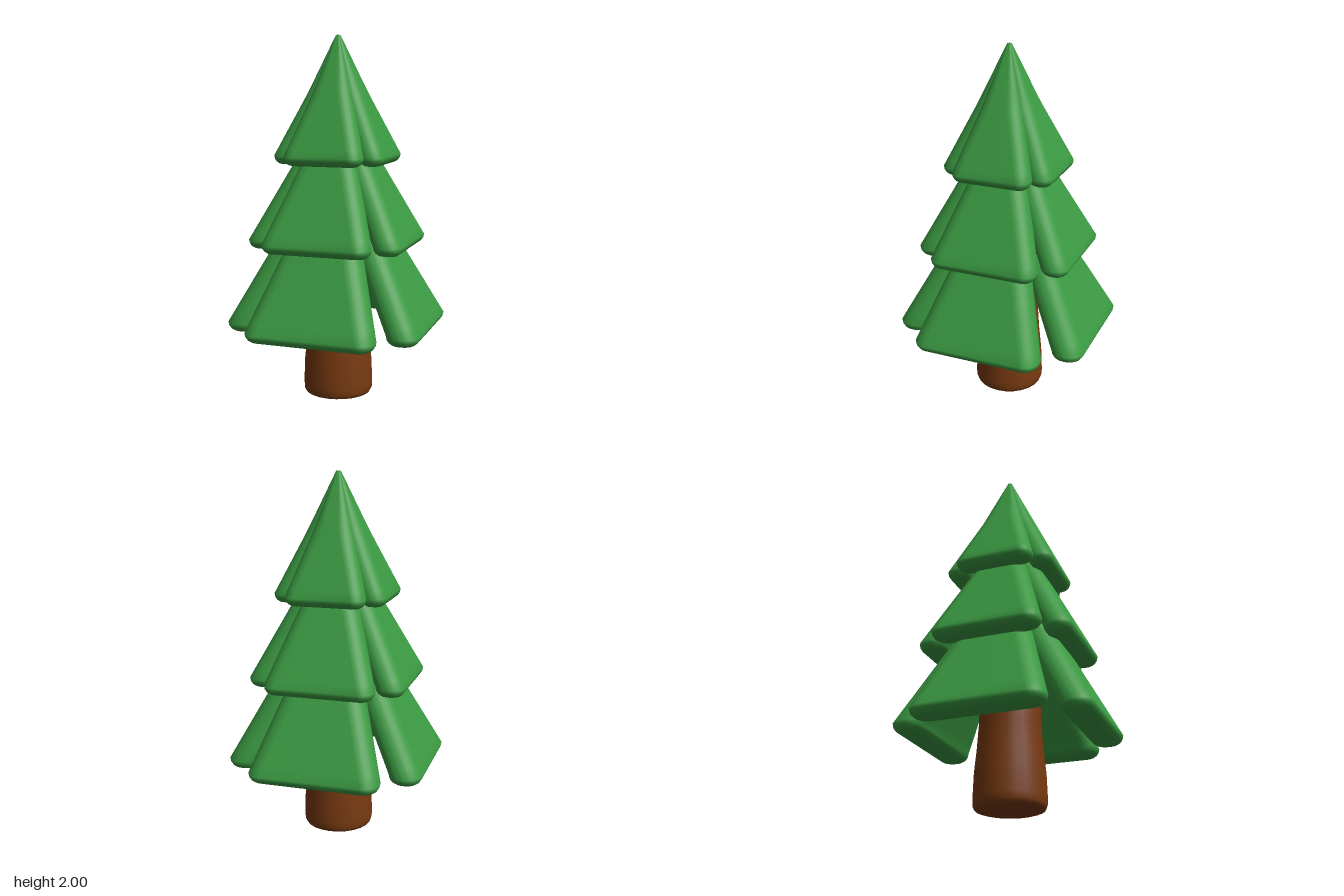
import * as THREE from 'three';

const foliage = new THREE.MeshStandardMaterial({ color: 0x3b9a42 });
foliage.name = 'leaf green';
const bark = new THREE.MeshStandardMaterial({ color: 0x783a10 });
bark.name = 'bark brown';

const CORNER = 6; // steps per rounded corner

// Rounded rectangle in plan: half width w, from z = inner to z = outer
function section(w, inner, outer, r, y) {
  const pts = [];
  const corners = [[w - r, outer - r], [r - w, outer - r], [r - w, inner + r], [w - r, inner + r]];
  corners.forEach(([cx, cz], q) => {
    for (let i = 0; i <= CORNER; i++) {
      const a = (q + i / CORNER) * Math.PI / 2;
      pts.push(new THREE.Vector3(cx + r * Math.cos(a), y, cz + r * Math.sin(a)));
    }
  });
  return pts;
}

// Closed surface through horizontal loops, bottom to top
function loft(loops) {
  const n = loops[0].length, pos = [], index = [];
  loops.forEach(loop => loop.forEach(p => pos.push(p.x, p.y, p.z)));
  for (let k = 0; k < loops.length - 1; k++) {
    for (let i = 0; i < n; i++) {
      const a = k * n + i, b = k * n + (i + 1) % n;
      index.push(a, a + n, b, b, a + n, b + n);
    }
  }
  // end caps
  [0, loops.length - 1].forEach(k => {
    const c = new THREE.Vector3();
    loops[k].forEach(p => c.addScaledVector(p, 1 / n));
    const centre = pos.length / 3;
    pos.push(c.x, c.y, c.z);
    for (let i = 0; i < n; i++) {
      const a = k * n + i, b = k * n + (i + 1) % n;
      if (k === 0) index.push(centre, a, b);
      else index.push(centre, b, a);
    }
  });
  const geo = new THREE.BufferGeometry();
  geo.setAttribute('position', new THREE.Float32BufferAttribute(pos, 3));
  geo.setIndex(index);
  geo.computeVertexNormals();
  return geo;
}

// One thick sloping bough, tapering towards the apex with a rounded lower rim
function boughGeometry({ bottom, apex, top, reach, width, thick, round }) {
  const rim = bottom + 0.048;
  const loops = [];
  const add = (y, s, inset) => {
    const outer = reach * s;
    const inner = Math.max(0, outer - thick);
    const w = width * s;
    const r = Math.min(round, 0.6 * w, (outer - inner) * 0.48);
    loops.push(section(w - inset, inner + inset, outer - inset, Math.max(r - inset, 0.002), y));
  };
  // rounded rim
  for (let i = 0; i <= 4; i++) {
    const a = i / 4 * Math.PI / 2;
    add(rim - 0.048 * Math.cos(a), 1, 0.048 * (1 - Math.sin(a)));
  }
  // straight slope
  const steps = 16;
  for (let i = 1; i <= steps; i++) {
    const y = rim + (top - rim) * i / steps;
    add(y, (apex - y) / (apex - rim), 0);
  }
  return loft(loops);
}

export function createModel() {
  const tree = new THREE.Group();
  tree.name = 'tree';

  // Trunk, flared at the foot
  const profile = [[0, 0], [0.165, 0], [0.184, 0.006], [0.193, 0.025], [0.195, 0.06], [0.19, 0.19],
    [0.177, 0.32], [0.168, 0.45], [0.158, 0.8], [0, 0.8]].map(p => new THREE.Vector2(...p));
  const trunk = new THREE.Mesh(new THREE.LatheGeometry(profile, 24), bark);
  trunk.name = 'trunk';
  tree.add(trunk);

  // Three tiers of four boughs facing the diagonals
  const tiers = [
    { name: 'lowerTier', bottom: 0.385, apex: 1.48, top: 1.3, reach: 0.545, width: 0.36, thick: 0.18, round: 0.085 },
    { name: 'middleTier', bottom: 0.845, apex: 1.75, top: 1.6, reach: 0.435, width: 0.302, thick: 0.16, round: 0.075 },
    { name: 'upperTier', bottom: 1.305, apex: 2.025, top: 2.0, reach: 0.312, width: 0.22, thick: 0.14, round: 0.065 },
  ];
  for (const spec of tiers) {
    const tier = new THREE.Group();
    tier.name = spec.name;
    const geo = boughGeometry(spec);
    for (let k = 0; k < 4; k++) {
      const bough = new THREE.Mesh(geo, foliage);
      bough.name = 'bough';
      bough.rotation.y = Math.PI / 4 + k * Math.PI / 2;
      tier.add(bough);
    }
    tree.add(tier);
  }
  return tree;
}
